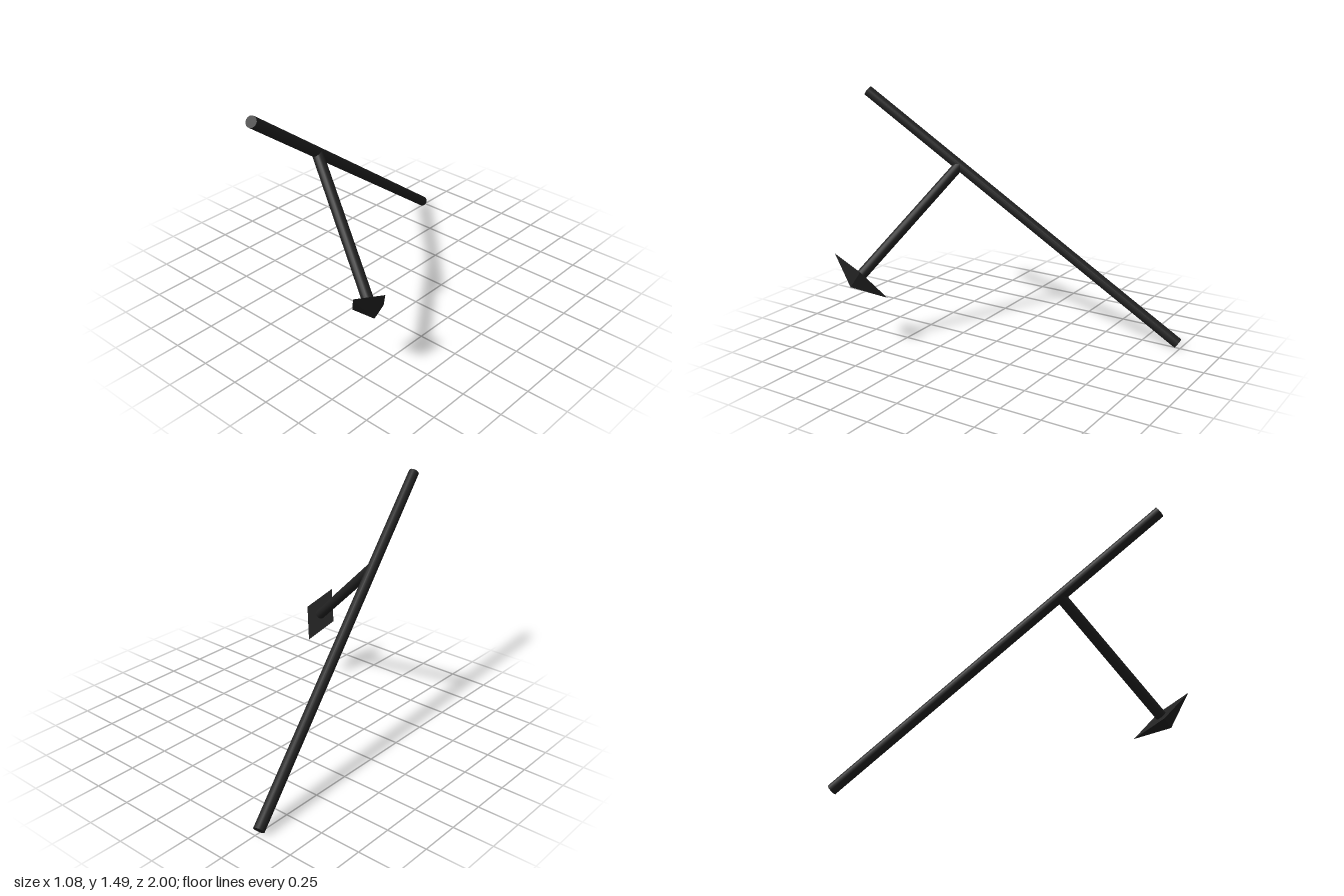
import * as THREE from 'three';

const material = new THREE.MeshStandardMaterial({ color: 0x222222 });
const flatMaterial = new THREE.MeshStandardMaterial({ color: 0x222222, flatShading: true });
const RADIUS = 0.033;

// Round rod running between two points
function rod(name, from, to) {
  const along = to.clone().sub(from);
  const mesh = new THREE.Mesh(new THREE.CylinderGeometry(RADIUS, RADIUS, along.length(), 16), material);
  mesh.name = name;
  mesh.position.copy(from).addScaledVector(along, 0.5);
  mesh.quaternion.setFromUnitVectors(new THREE.Vector3(0, 1, 0), along.normalize());
  return mesh;
}

export function createModel() {
  const model = new THREE.Group();
  model.name = 'pickTool';

  // Long main rod
  const foot = new THREE.Vector3(-0.509, 0.027, -0.98);
  const top = new THREE.Vector3(-0.033, 1.466, 0.98);
  model.add(rod('mainRod', foot, top));

  // Side rod, square to the main rod
  const joint = foot.clone().lerp(top, 0.698);
  const headCentre = new THREE.Vector3(0.47, 0.443, 0.669);
  model.add(rod('sideRod', joint, headCentre));

  // Head: shallow pyramid on a rhombus, its long diagonal parallel to the main rod
  const outward = headCentre.clone().sub(joint).normalize();
  const lengthwise = top.clone().sub(foot).normalize();
  const across = new THREE.Vector3().crossVectors(lengthwise, outward).normalize();
  lengthwise.crossVectors(outward, across);
  const geometry = new THREE.ConeGeometry(1, 1, 4);
  geometry.translate(0, 0.5, 0).scale(0.103, 0.094, 0.209);
  const head = new THREE.Mesh(geometry, flatMaterial);
  head.name = 'head';
  head.position.copy(headCentre);
  head.quaternion.setFromRotationMatrix(
    new THREE.Matrix4().makeBasis(across.clone().negate(), outward, lengthwise));
  model.add(head);

  return model;
}
